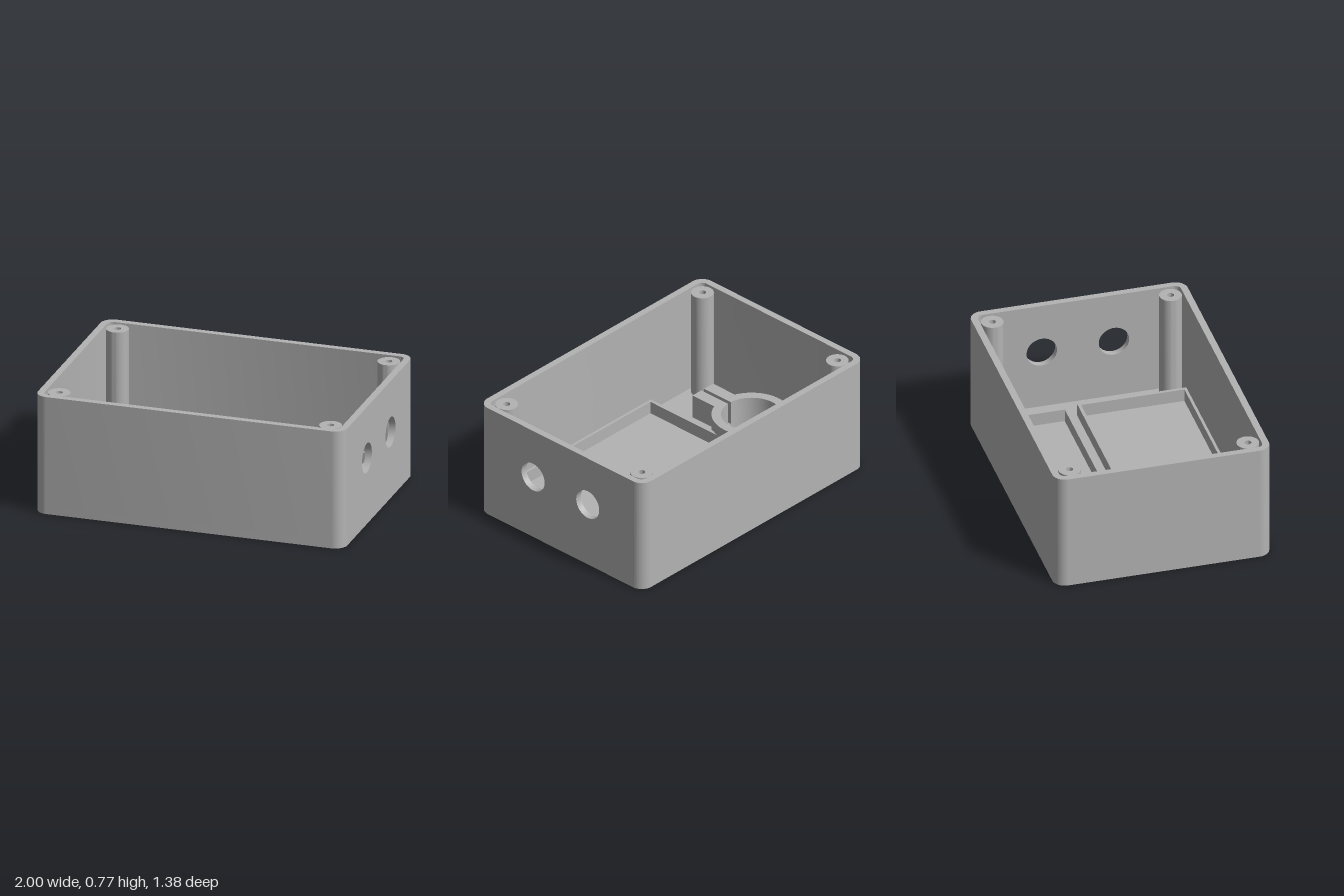
import * as THREE from 'three';
import { toCreasedNormals } from 'three/addons/utils/BufferGeometryUtils.js';

const W = 1, D = 0.69, H = 0.77;      // half width, half depth, height
const WALL = 0.043, FLOOR = 0.042, R = 0.08;
const RIB_TOP = 0.125, CLAMP_TOP = 0.2;

const plastic = new THREE.MeshStandardMaterial({ color: 0xb3b3b3 });
plastic.name = 'grey plastic';

function solid(name, shape, depth) {
  const geo = new THREE.ExtrudeGeometry(shape, { depth, bevelEnabled: false, curveSegments: 24 });
  const mesh = new THREE.Mesh(toCreasedNormals(geo, 0.5), plastic);
  mesh.name = name;
  return mesh;
}

// Plan shape (shape y = -z) raised from y0 to y1
function raised(name, shape, y0, y1) {
  const mesh = solid(name, shape, y1 - y0);
  mesh.geometry.rotateX(-Math.PI / 2);
  mesh.position.y = y0;
  return mesh;
}

function circle(x, y, r) {
  return new THREE.Path().absarc(x, y, r, 0, Math.PI * 2, false);
}

function rect(x0, y0, x1, y1) {
  return [[x0, y0], [x1, y0], [x1, y1], [x0, y1]].map(([x, y]) => new THREE.Vector2(x, y));
}

// Rectangular rib around a pocket, given in x and z
function pocket(name, x0, x1, z0, z1, t) {
  const shape = new THREE.Shape(rect(x0, -z1, x1, -z0));
  shape.holes.push(new THREE.Path(rect(x0 + t, -z1 + t, x1 - t, -z0 - t)));
  return raised(name, shape, FLOOR - 0.005, RIB_TOP);
}

export function createModel() {
  const model = new THREE.Group();
  model.name = 'enclosure';
  const PI = Math.PI, cx = W - R, cy = D - R;
  const clampX = -0.7125, bore = 0.187;

  // Floor with the round opening
  const floor = new THREE.Shape();
  floor.absarc(cx, cy, R, 0, PI / 2, false);
  floor.absarc(-cx, cy, R, PI / 2, PI, false);
  floor.absarc(-cx, -cy, R, PI, PI * 1.5, false);
  floor.absarc(cx, -cy, R, PI * 1.5, PI * 2, false);
  floor.holes.push(circle(clampX, 0, bore));
  model.add(raised('floor', floor, 0, FLOOR));

  // Front, back and left-hand walls with all four rounded corners
  const r = R - WALL;
  const walls = new THREE.Shape();
  walls.moveTo(W, cy);
  walls.absarc(cx, cy, R, 0, PI / 2, false);
  walls.absarc(-cx, cy, R, PI / 2, PI, false);
  walls.absarc(-cx, -cy, R, PI, PI * 1.5, false);
  walls.absarc(cx, -cy, R, PI * 1.5, PI * 2, false);
  walls.absarc(cx, -cy, r, PI * 2, PI * 1.5, true);
  walls.absarc(-cx, -cy, r, PI * 1.5, PI, true);
  walls.absarc(-cx, cy, r, PI, PI / 2, true);
  walls.absarc(cx, cy, r, PI / 2, 0, true);
  walls.closePath();
  model.add(raised('walls', walls, FLOOR, H));

  // Side wall with two cable holes
  const side = new THREE.Shape(rect(-cy, FLOOR, cy, H));
  for (const s of [-1, 1]) side.holes.push(circle(s * 0.23, 0.435, 0.097));
  const sideWall = solid('cableWall', side, WALL);
  sideWall.rotation.y = PI / 2;
  sideWall.position.x = W - WALL;
  model.add(sideWall);

  // Screw posts in the corners
  for (const sx of [-1, 1]) for (const sz of [-1, 1]) {
    const post = new THREE.Shape().absarc(0, 0, 0.07, 0, PI * 2, false);
    post.holes.push(circle(0, 0, 0.022));
    const mesh = raised('screwPost', post, FLOOR, H - 0.008);
    mesh.position.x = sx * 0.877;
    mesh.position.z = sz * 0.568;
    model.add(mesh);
  }

  // Ribbed pockets on the floor
  model.add(pocket('smallPocket', -0.62, -0.125, -0.585, -0.225, 0.021));
  model.add(pocket('mediumPocket', -0.107, 0.777, -0.627, -0.118, 0.022));
  model.add(pocket('largePocket', -0.497, 0.8, -0.05, 0.65, 0.021));

  // Split clamp ring with two tabs
  const slit = 0.0125, tab = 0.0925, outer = 0.246, end = -0.41;
  const a = Math.asin(tab / outer), b = Math.asin(slit / bore);
  const clamp = new THREE.Shape();
  clamp.moveTo(-slit, end);
  clamp.lineTo(-tab, end);
  clamp.absarc(0, 0, outer, PI * 1.5 - a, -PI / 2 + a, true);
  clamp.lineTo(tab, end);
  clamp.lineTo(slit, end);
  clamp.absarc(0, 0, bore, -PI / 2 + b, PI * 1.5 - b, false);
  clamp.closePath();
  const ring = raised('clampRing', clamp, FLOOR, CLAMP_TOP);
  ring.position.x = clampX;
  model.add(ring);

  return model;
}
